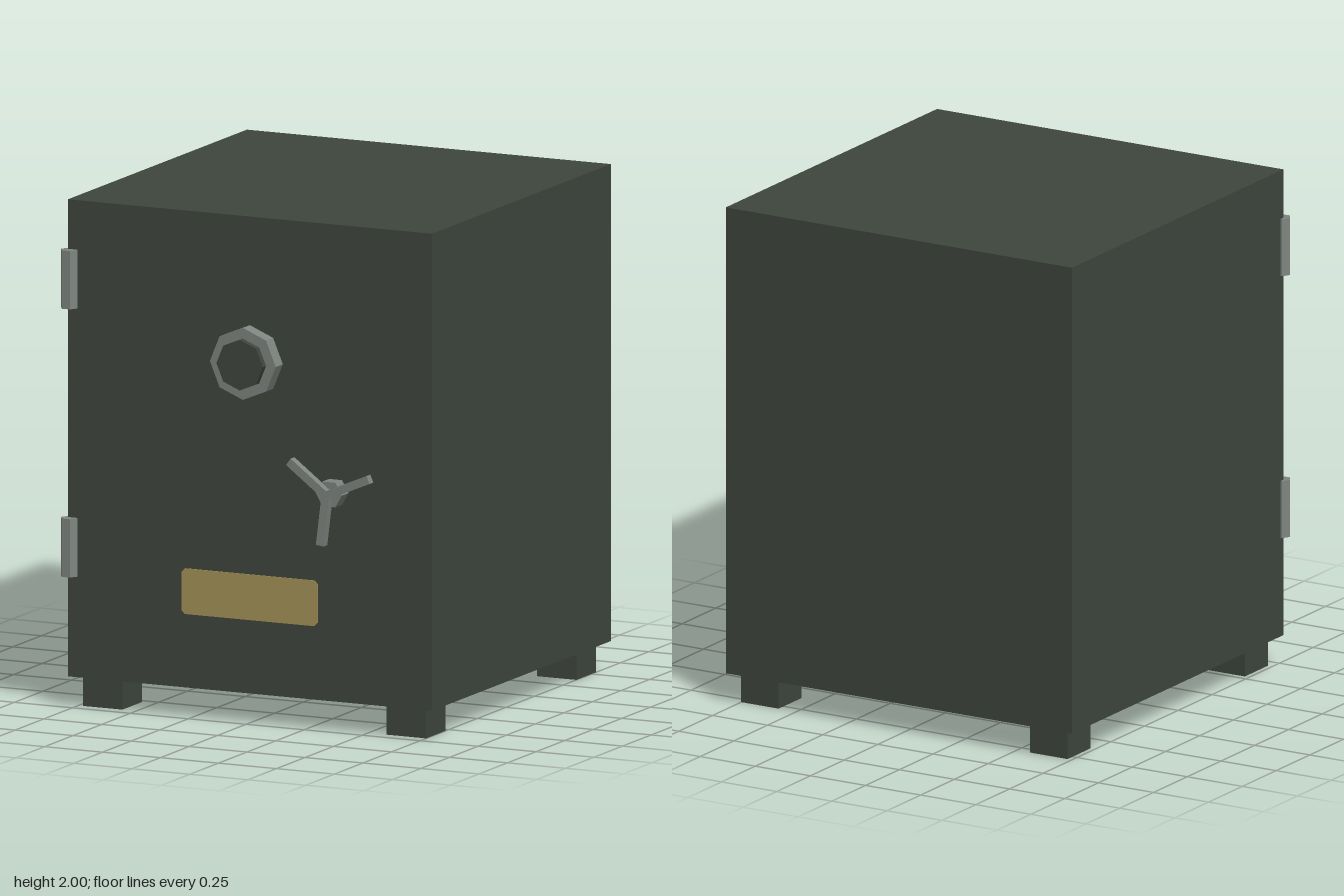
import * as THREE from 'three';

export function createModel() {
  const group = new THREE.Group();
  const material = (name, color) => {
    const m = new THREE.MeshStandardMaterial({ color, flatShading: true });
    m.name = name;
    return m;
  };
  const iron = material('dark green iron', 0x3f463e);
  const steel = material('grey steel', 0x7f8681);
  const brass = material('brass', 0xa89459);

  const add = (name, geometry, mat, x, y, z) => {
    const mesh = new THREE.Mesh(geometry, mat);
    mesh.name = name;
    mesh.position.set(x, y, z);
    group.add(mesh);
    return mesh;
  };
  // Prism whose axis points out of the door
  const disc = (r, depth, sides) =>
    new THREE.CylinderGeometry(r, r, depth, sides).rotateX(Math.PI / 2);

  const cx = 0.01, cz = -0.045, front = 0.738;

  // Cabinet
  add('body', new THREE.BoxGeometry(1.57, 1.88, 1.566), iron, cx, 1.06, cz);

  // Four feet
  for (const sx of [-1, 1])
    for (const sz of [-1, 1])
      add('foot', new THREE.BoxGeometry(0.17, 0.12, 0.17), iron, cx + sx * 0.655, 0.06, cz + sz * 0.657);

  // Hinge barrels on the door edge
  for (const y of [0.633, 1.69])
    add('hinge', new THREE.CylinderGeometry(0.035, 0.035, 0.23, 6).rotateY(Math.PI / 6), steel, -0.765, y, 0.747);

  // Combination dial
  add('dialRing', disc(0.142, 0.062, 8), steel, cx, 1.43, front + 0.031);
  add('dialKnob', disc(0.1, 0.09, 8), iron, cx, 1.43, front + 0.045);

  // Three-spoke handle
  const hx = 0.38, hy = 0.947;
  add('handleHub', disc(0.056, 0.06, 6).rotateZ(Math.PI / 6), steel, hx, hy, front + 0.03);
  for (let i = 0; i < 3; i++) {
    const arm = new THREE.BoxGeometry(0.2, 0.033, 0.034).translate(0.1, 0, 0);
    add('handleArm', arm, steel, hx, hy, 0.812).rotation.z = THREE.MathUtils.degToRad(23 + i * 120);
  }

  // Brass plate with clipped corners
  const w = 0.293, h = 0.09, c = 0.014;
  const outline = new THREE.Shape([
    [-w + c, -h], [w - c, -h], [w, -h + c], [w, h - c],
    [w - c, h], [-w + c, h], [-w, h - c], [-w, -h + c],
  ].map(([x, y]) => new THREE.Vector2(x, y)));
  add('namePlate', new THREE.ExtrudeGeometry(outline, { depth: 0.004, bevelEnabled: false }), brass, cx, 0.5, front);

  return group;
}
